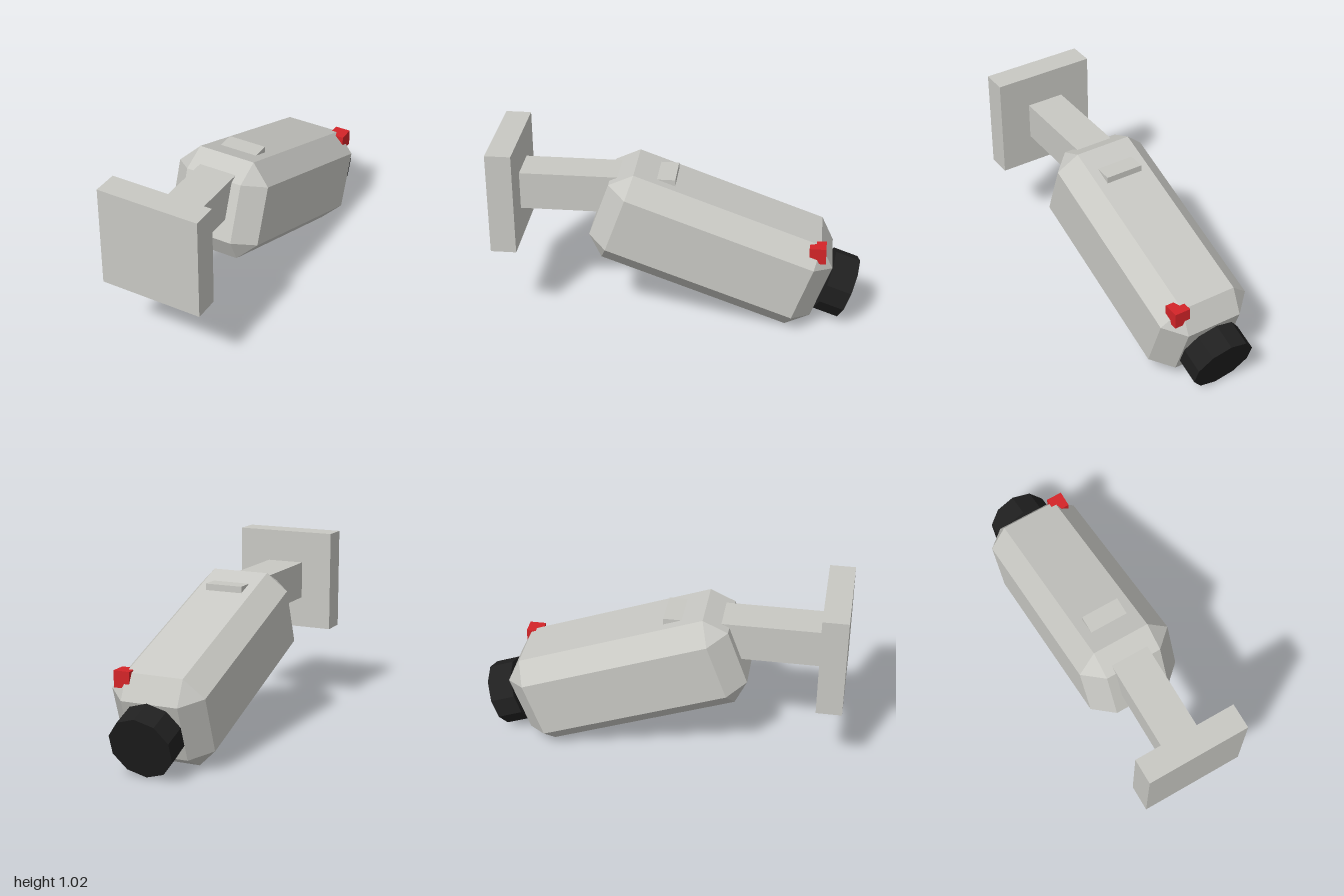
import * as THREE from 'three';
import { ConvexGeometry } from 'three/addons/geometries/ConvexGeometry.js';

const shell = new THREE.MeshStandardMaterial({ color: 0xc8c8c3 });
shell.name = 'light grey shell';
const black = new THREE.MeshStandardMaterial({ color: 0x202020 });
black.name = 'lens black';
const red = new THREE.MeshStandardMaterial({ color: 0xd42428 });
red.name = 'indicator red';

function add(parent, name, geometry, material, x, y, z) {
  const mesh = new THREE.Mesh(geometry, material);
  mesh.name = name;
  mesh.position.set(x, y, z);
  parent.add(mesh);
  return mesh;
}

// Box with every edge bevelled by c and every corner cut to a triangle
function bevelledBox(hx, hy, hz, c) {
  const points = [];
  for (const sx of [-1, 1]) for (const sy of [-1, 1]) for (const sz of [-1, 1]) {
    points.push(
      new THREE.Vector3(sx * hx, sy * (hy - c), sz * (hz - c)),
      new THREE.Vector3(sx * (hx - c), sy * hy, sz * (hz - c)),
      new THREE.Vector3(sx * (hx - c), sy * (hy - c), sz * hz));
  }
  return new ConvexGeometry(points);
}

export function createModel() {
  const model = new THREE.Group();
  model.name = 'securityCamera';

  // Wall mount; the arm's end pokes slightly through the top of the housing
  add(model, 'wallPlate', new THREE.BoxGeometry(0.576, 0.574, 0.14), shell, 0, 0.737, 0.93);
  add(model, 'mountArm', new THREE.BoxGeometry(0.216, 0.212, 0.85), shell, 0, 0.735, 0.435);

  // Camera head, tilted downwards towards -z
  const head = new THREE.Group();
  head.name = 'cameraHead';
  head.position.set(0, 0.447, -0.187);
  head.rotation.x = -THREE.MathUtils.degToRad(20);
  model.add(head);
  add(head, 'housing', bevelledBox(0.269, 0.269, 0.648, 0.107), shell, 0, 0, 0);

  // Ten-sided lens with faceted sides
  const lens = new THREE.CylinderGeometry(0.179, 0.179, 0.143, 10).toNonIndexed();
  lens.computeVertexNormals();
  lens.rotateX(-Math.PI / 2);
  add(head, 'lens', lens, black, 0, 0, -0.734);

  // Level indicator light half sunk into the housing's upper front corner
  add(model, 'indicatorLight', new THREE.BoxGeometry(0.09, 0.09, 0.09), red, 0.177, 0.479, -0.769);

  return model;
}
